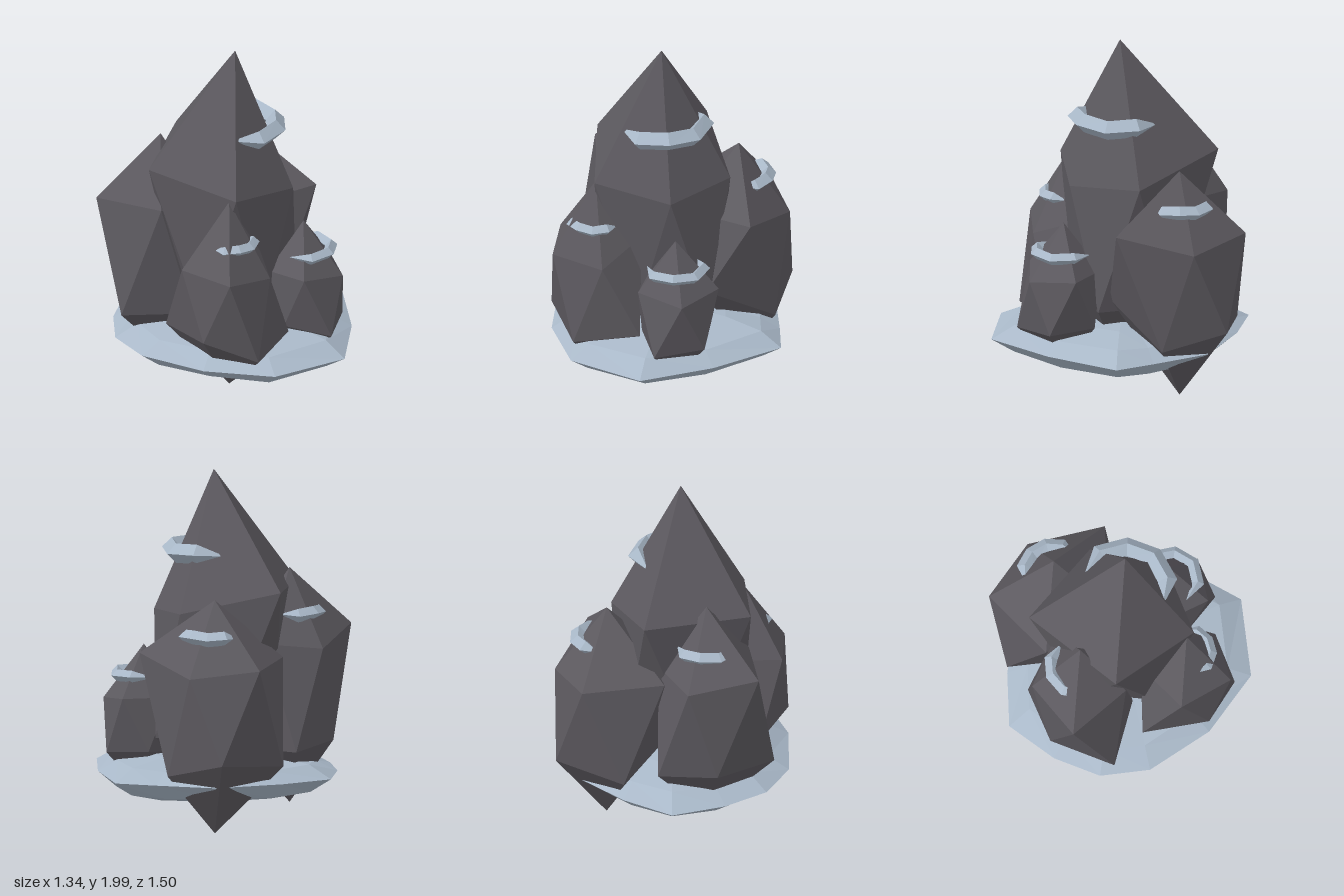
import * as THREE from 'three';

const DEG = Math.PI / 180;

// Faceted closed solid: top point, rings from top to bottom, bottom point
function facetedSolid(top, rings, bottom) {
  const n = rings[0].length;
  const points = [top, ...rings.flat(), bottom];
  const last = points.length - 1;
  const at = (ring, k) => 1 + ring * n + (k % n);
  const index = [];
  for (let k = 0; k < n; k++) {
    index.push(0, at(0, k + 1), at(0, k));
    for (let r = 0; r < rings.length - 1; r++) {
      index.push(at(r, k), at(r, k + 1), at(r + 1, k));
      index.push(at(r, k + 1), at(r + 1, k + 1), at(r + 1, k));
    }
    index.push(last, at(rings.length - 1, k), at(rings.length - 1, k + 1));
  }
  const indexed = new THREE.BufferGeometry();
  indexed.setAttribute('position', new THREE.Float32BufferAttribute(points.flat(), 3));
  indexed.setIndex(index);
  const geometry = indexed.toNonIndexed();
  geometry.computeVertexNormals();
  return geometry;
}

// Rock spire: two staggered five-point rings of [radius, height]
function spireGeometry({ x, z, top, bottom, upper, lower }) {
  const ring = (list, start) => list.map(([r, y], k) => {
    const a = (start + 72 * k) * DEG;
    return [x + r * Math.cos(a), y, z + r * Math.sin(a)];
  });
  return facetedSolid([x, top, z], [ring(upper, 0), ring(lower, 36)], [x, bottom, z]);
}

// Crescent of snow: flattened four-sided arc with pointed, closed ends
function snowGeometry({ r, tube, height, from, to }) {
  const segments = 5;
  const arc = (to - from) * DEG;
  const torus = new THREE.TorusGeometry(r, tube, 4, segments, arc);
  const p = torus.attributes.position;
  for (let i = 0; i < p.count; i++) {
    const s = i % (segments + 1);
    if (s === 0) p.setXYZ(i, r, 0, 0);
    if (s === segments) p.setXYZ(i, r * Math.cos(arc), r * Math.sin(arc), 0);
    // uneven drift
    if (s % 2 === 1) p.setZ(i, p.getZ(i) - tube * 0.2);
  }
  torus.rotateX(Math.PI / 2);
  torus.rotateY(-from * DEG);
  torus.scale(1, height / tube, 1);
  const geometry = torus.toNonIndexed();
  geometry.computeVertexNormals();
  return geometry;
}

const SPIRES = [
  {
    name: 'mainSpire', x: -0.05, z: 0, top: 2, bottom: 0.08,
    upper: [[0.39, 1.23], [0.34, 1.2], [0.42, 1.26], [0.51, 1.34], [0.55, 1.36]],
    lower: [[0.36, 0.5], [0.27, 0.5], [0.34, 0.5], [0.34, 0.5], [0.36, 0.5]],
    snow: { y: 1.54, r: 0.24, tube: 0.055, height: 0.055, from: -45, to: 150 },
  },
  {
    name: 'rightSpire', x: 0.35, z: -0.23, top: 1.33, bottom: 0.01,
    upper: [[0.29, 0.92], [0.43, 1.02], [0.33, 0.98], [0.42, 0.98], [0.37, 0.97]],
    lower: [[0.29, 0.35], [0.39, 0.57], [0.3, 0.45], [0.39, 0.4], [0.335, 0.44]],
    snow: { y: 1.13, r: 0.165, tube: 0.045, height: 0.04, from: -80, to: 80 },
  },
  {
    name: 'backSpire', x: -0.22, z: -0.39, top: 1.45, bottom: 0.12,
    upper: [[0.27, 1.05], [0.28, 1.05], [0.28, 1.1], [0.38, 1.11], [0.275, 1.02]],
    lower: [[0.3, 0.45], [0.3, 0.45], [0.38, 0.47], [0.25, 0.48], [0.32, 0.45]],
    snow: { y: 1.2, r: 0.165, tube: 0.04, height: 0.038, from: 170, to: 350 },
  },
  {
    name: 'leftSpire', x: -0.39, z: 0.2, top: 1.25, bottom: 0.13,
    upper: [[0.26, 0.92], [0.24, 0.81], [0.27, 0.85], [0.28, 0.87], [0.26, 0.9]],
    lower: [[0.35, 0.4], [0.275, 0.36], [0.25, 0.47], [0.37, 0.45], [0.28, 0.4]],
    snow: { y: 1, r: 0.135, tube: 0.035, height: 0.033, from: 20, to: 190 },
  },
  {
    name: 'frontSpire', x: 0.09, z: 0.37, top: 1, bottom: 0.15,
    upper: [[0.245, 0.72], [0.23, 0.69], [0.235, 0.73], [0.21, 0.72], [0.21, 0.72]],
    lower: [[0.23, 0.4], [0.26, 0.38], [0.19, 0.42], [0.2, 0.4], [0.22, 0.42]],
    snow: { y: 0.83, r: 0.16, tube: 0.035, height: 0.033, from: -50, to: 175 },
  },
];

// Outline of the snowy ground slab as [x, z], clockwise from above
const OUTLINE = [
  [0.62, 0], [0.665, 0.23], [0.33, 0.53], [-0.05, 0.75], [-0.47, 0.57], [-0.64, 0.2],
  [-0.67, -0.2], [-0.56, -0.46], [-0.34, -0.63], [-0.05, -0.75], [0.23, -0.6], [0.54, -0.34],
];

export function createModel() {
  const rock = new THREE.MeshStandardMaterial({ color: 0x5d5a60 });
  rock.name = 'darkRock';
  const snow = new THREE.MeshStandardMaterial({ color: 0xa9b8c8 });
  snow.name = 'paleSnow';

  const model = new THREE.Group();
  model.name = 'rockFormation';
  const add = (name, geometry, material) => {
    const mesh = new THREE.Mesh(geometry, material);
    mesh.name = name;
    model.add(mesh);
    return mesh;
  };

  // Lens-shaped ground slab; alternate points are nudged for irregular facets
  const slabRing = (scale, y, wobble) =>
    OUTLINE.map(([x, z], k) => [x * scale, y + (k % 2 ? wobble : 0), z * scale]);
  const slab = facetedSolid([0, 0.41, 0], [
    slabRing(0.5, 0.4, 0.01),
    slabRing(0.82, 0.36, 0.015),
    slabRing(1, 0.3, 0),
    slabRing(0.83, 0.21, 0.01),
    slabRing(0.5, 0.17, -0.005),
  ], [0, 0.155, 0]);
  add('groundSlab', slab, snow);

  // Spires and their snow ledges
  for (const spire of SPIRES) {
    add(spire.name, spireGeometry(spire), rock);
    const ledge = add(spire.name + 'Snow', snowGeometry(spire.snow), snow);
    ledge.position.set(spire.x, spire.snow.y, spire.z);
  }
  return model;
}
